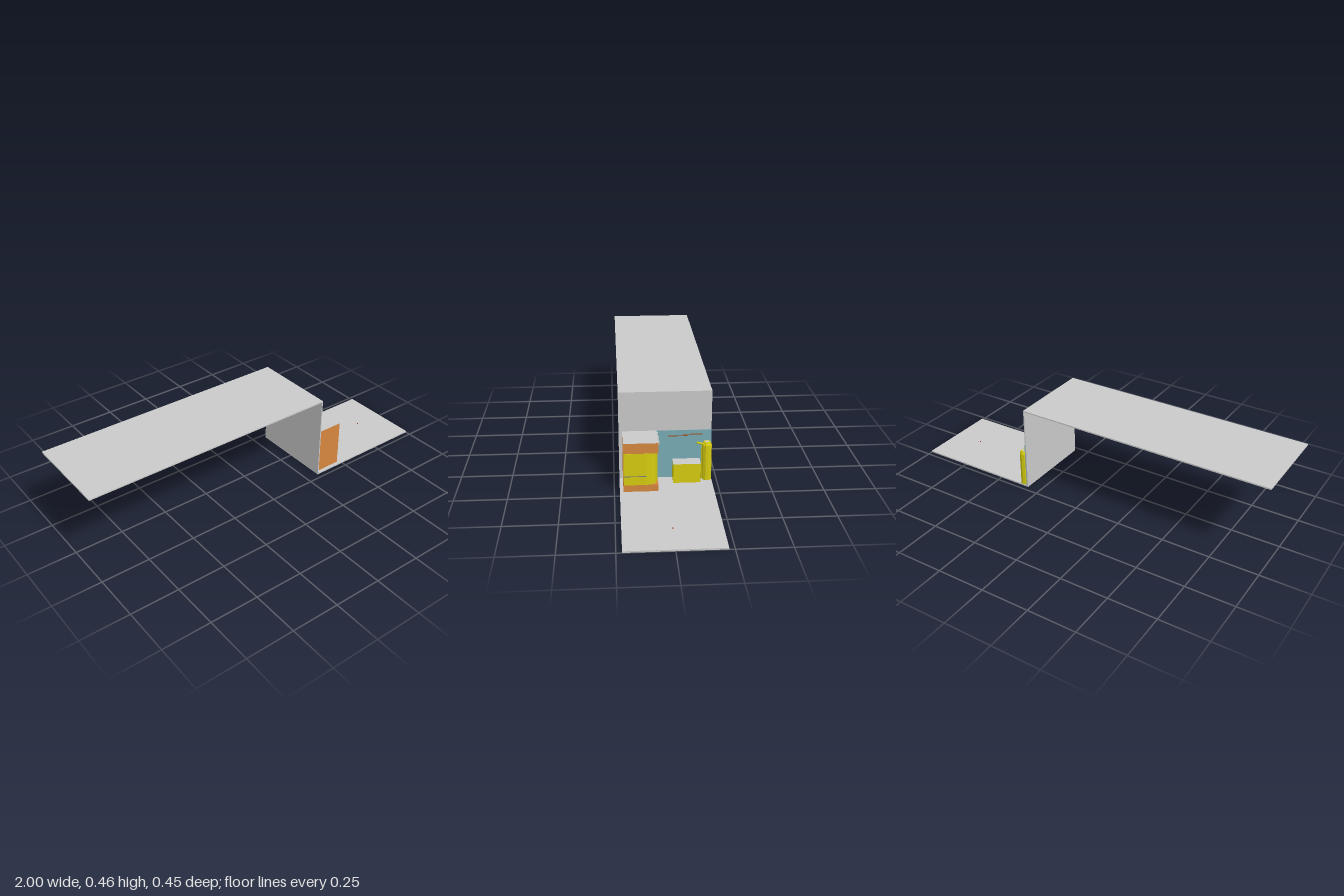
import * as THREE from 'three';

const mat = (name, color) => {
  const m = new THREE.MeshStandardMaterial({ color });
  m.name = name;
  return m;
};

export function createModel() {
  const model = new THREE.Group();
  const gray = mat('concrete gray', 0xcacaca);
  const teal = mat('teal', 0x7aadb5);
  const orange = mat('orange', 0xd5873e);
  const yellow = mat('yellow', 0xd5cc10);
  const slate = mat('slate line', 0x74777a);
  const rust = mat('rust', 0x9c4a1c);

  const add = (parent, name, geometry, material) => {
    const mesh = new THREE.Mesh(geometry, material);
    mesh.name = name;
    parent.add(mesh);
    return mesh;
  };
  // Box given by its lower and upper limits on each axis
  const box = (parent, name, material, x0, x1, y0, y1, z0, z1) => {
    const g = new THREE.BoxGeometry(x1 - x0, y1 - y0, z1 - z0);
    g.translate((x0 + x1) / 2, (y0 + y1) / 2, (z0 + z1) / 2);
    return add(parent, name, g, material);
  };
  // Material lists for boxes: order is +x, -x, +y, -y, +z, -z
  const topped = (m) => [m, m, gray, m, m, m];

  // Stepped shell: upper deck, riser wall, lower floor
  const W = 0.224;
  box(model, 'upperDeck', gray, -1, 0.328, 0.449, 0.456, -W, W);
  box(model, 'riserWall', gray, 0.322, 0.328, 0, 0.449, -W, W);
  box(model, 'lowerFloor', gray, 0.328, 1, 0, 0.008, -W, W);

  // Teal wall panel with two thin rails
  box(model, 'wallPanel', teal, 0.328, 0.331, 0.008, 0.257, -W, 0.041);
  box(model, 'wallRail', rust, 0.331, 0.334, 0.234, 0.237, -0.18, -0.085);
  box(model, 'wallRail', rust, 0.331, 0.334, 0.227, 0.23, -0.108, -0.013);

  // Cabinet: orange base and cap around a yellow body with a faceted corner
  const cabinet = new THREE.Group();
  cabinet.name = 'cabinet';
  model.add(cabinet);
  box(cabinet, 'cabinetBase', orange, 0.328, 0.475, 0.008, 0.043, 0.041, 0.207);
  box(cabinet, 'cabinetCap', topped(orange), 0.328, 0.475, 0.205, 0.257, 0.041, 0.207);
  const outline = new THREE.Shape([
    [0.328, -0.205], [0.477, -0.205], [0.477, -0.097], [0.472, -0.073],
    [0.458, -0.055], [0.43, -0.042], [0.328, -0.042],
  ].map(([x, y]) => new THREE.Vector2(x, y)));
  const body = new THREE.ExtrudeGeometry(outline, { depth: 0.162, bevelEnabled: false });
  body.rotateX(-Math.PI / 2);
  body.translate(0, 0.043, 0);
  add(cabinet, 'cabinetBody', body, yellow);
  box(cabinet, 'cabinetSide', orange, 0.328, 0.475, 0.043, 0.205, 0.205, 0.207);
  box(cabinet, 'drawerSeam', slate, 0.476, 0.479, 0.087, 0.09, 0.097, 0.206);
  // Small clips along the inner top edge
  for (const x of [0.352, 0.4, 0.452]) {
    box(cabinet, 'clip', gray, x - 0.005, x + 0.005, 0.24, 0.257, 0.035, 0.041);
  }

  // Low storage box
  box(model, 'storageBox', topped(yellow), 0.331, 0.396, 0.008, 0.107, -0.168, -0.035);

  // Faceted tank with tapered shoulder and a short angled spout
  const tank = new THREE.Group();
  tank.name = 'tank';
  tank.position.set(0.354, 0, -0.2);
  model.add(tank);
  const faceted = yellow.clone();
  faceted.flatShading = true;
  faceted.name = 'yellow faceted';
  const cylinder = (name, r0, r1, y0, y1, material) => {
    const g = new THREE.CylinderGeometry(r1, r0, y1 - y0, 10);
    g.translate(0, (y0 + y1) / 2, 0);
    return add(tank, name, g, material);
  };
  cylinder('tankBody', 0.024, 0.024, 0.008, 0.19, faceted);
  cylinder('tankShoulder', 0.024, 0.017, 0.19, 0.205, faceted);
  cylinder('tankLid', 0.011, 0.011, 0.204, 0.206, gray);
  const path = new THREE.LineCurve3(
    new THREE.Vector3(0.006, 0.193, 0.012), new THREE.Vector3(0.022, 0.21, 0.051));
  add(tank, 'spout', new THREE.TubeGeometry(path, 1, 0.005, 6), faceted);
  const tip = new THREE.CircleGeometry(0.005, 6);
  tip.lookAt(path.getTangent(1));
  tip.translate(0.022, 0.21, 0.051);
  add(tank, 'spoutTip', tip, faceted);

  // Thin pipe beside the tank
  box(model, 'tankPipe', faceted, 0.345, 0.351, 0.008, 0.19, -0.18, -0.174);

  // Small peg on the floor
  box(model, 'floorPeg', rust, 0.826, 0.83, 0.008, 0.014, -0.002, 0.002);

  return model;
}
